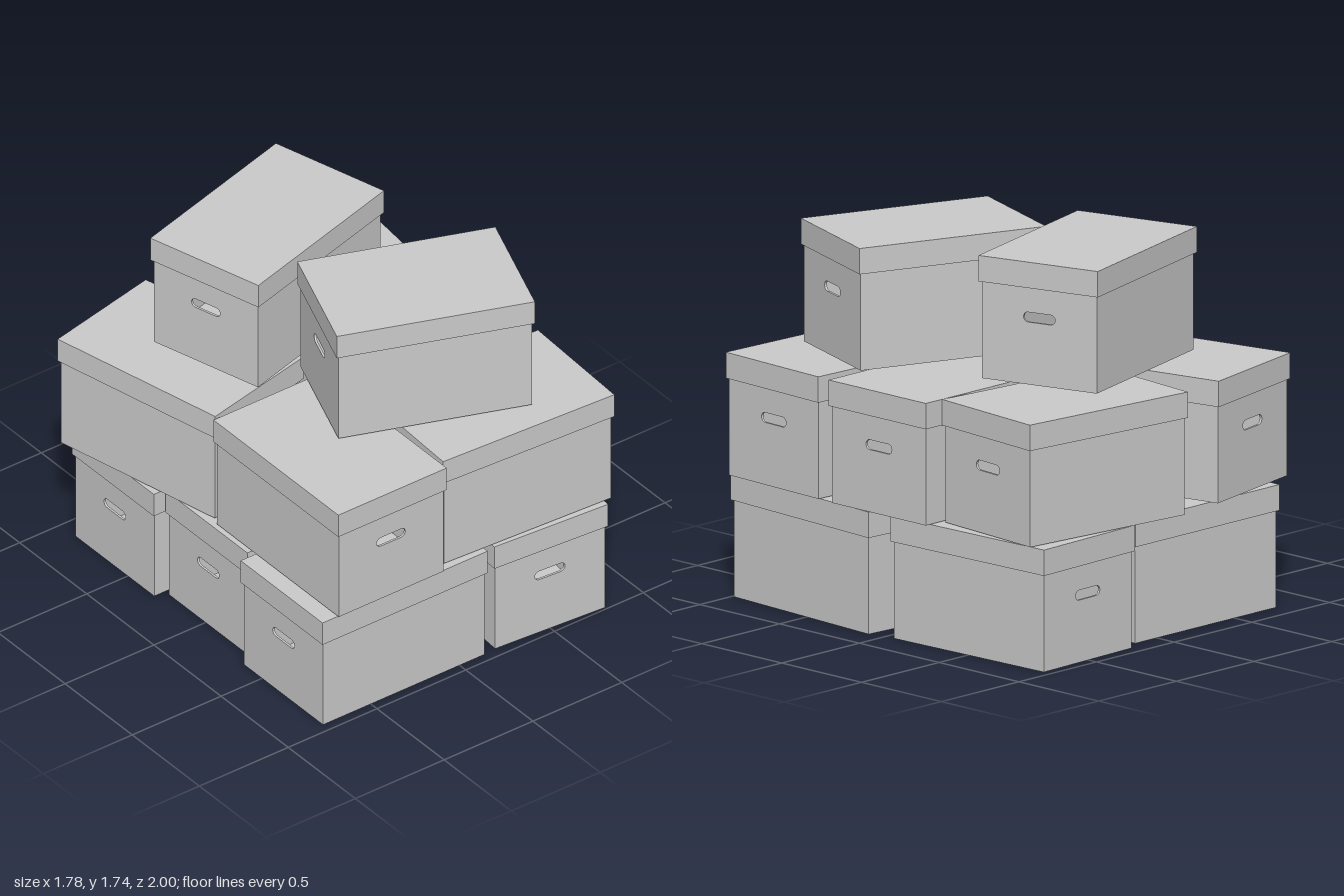
import * as THREE from 'three';

const LENGTH = 0.93, WIDTH = 0.61, HEIGHT = 0.57; // overall size of a lidded box
const LID = 0.12, CARD = 0.011;                   // lid depth, cardboard thickness

const material = new THREE.MeshStandardMaterial({ color: 0xcccccc, flatShading: true });

function rectangle(Path, w, h) {
  return new Path().setFromPoints([
    new THREE.Vector2(-w / 2, -h / 2), new THREE.Vector2(w / 2, -h / 2),
    new THREE.Vector2(w / 2, h / 2), new THREE.Vector2(-w / 2, h / 2),
  ]);
}

// End panel with a rounded hand slot, standing on y = 0
function endPanelGeometry(width, height) {
  const shape = rectangle(THREE.Shape, width, height);
  const r = 0.023, reach = 0.058, y = 0.312 - height / 2;
  const slot = new THREE.Path();
  slot.absarc(reach, y, r, -Math.PI / 2, Math.PI / 2, false);
  slot.absarc(-reach, y, r, Math.PI / 2, Math.PI * 1.5, false);
  slot.closePath();
  shape.holes.push(slot);
  return new THREE.ExtrudeGeometry(shape, { depth: CARD, bevelEnabled: false, curveSegments: 4 })
    .translate(0, height / 2, -CARD)
    .rotateY(Math.PI / 2);
}

// Open frame of the lid's four sides
function lidRimGeometry() {
  const shape = rectangle(THREE.Shape, LENGTH, WIDTH);
  shape.holes.push(rectangle(THREE.Path, LENGTH - 2 * CARD, WIDTH - 2 * CARD));
  return new THREE.ExtrudeGeometry(shape, { depth: LID - CARD, bevelEnabled: false })
    .rotateX(-Math.PI / 2);
}

const bodyL = LENGTH - 2 * CARD, bodyW = WIDTH - 2 * CARD, bodyH = HEIGHT - CARD;
const geometry = {
  end: endPanelGeometry(bodyW, bodyH),
  side: new THREE.BoxGeometry(bodyL - 2 * CARD, bodyH, CARD),
  floor: new THREE.BoxGeometry(bodyL - 2 * CARD, CARD, bodyW - 2 * CARD),
  rim: lidRimGeometry(),
  top: new THREE.BoxGeometry(LENGTH, CARD, WIDTH),
};

function add(parent, name, geo, x, y, z, turn = 0) {
  const mesh = new THREE.Mesh(geo, material);
  mesh.name = name;
  mesh.position.set(x, y, z);
  mesh.rotation.y = turn;
  parent.add(mesh);
}

// One storage box, its long side along x
function createBox(name) {
  const box = new THREE.Group();
  box.name = name;

  const body = new THREE.Group();
  body.name = 'boxBody';
  add(body, 'floor', geometry.floor, 0, CARD / 2, 0);
  for (const s of [1, -1]) {
    add(body, 'sidePanel', geometry.side, 0, bodyH / 2, s * (bodyW - CARD) / 2);
    add(body, 'endPanelWithHandSlot', geometry.end, s * bodyL / 2, 0, 0, s > 0 ? 0 : Math.PI);
  }

  const lid = new THREE.Group();
  lid.name = 'boxLid';
  add(lid, 'lidRim', geometry.rim, 0, HEIGHT - LID, 0);
  add(lid, 'lidTop', geometry.top, 0, HEIGHT - CARD / 2, 0);

  box.add(body, lid);
  return box;
}

export function createModel() {
  const model = new THREE.Group();
  model.name = 'stackOfStorageBoxes';
  const Q = Math.PI / 2;

  // name, x, base y, z, turn about y
  const boxes = [
    // bottom layer
    ['bottomFrontRightBox', -0.315, 0, 0.66, 0],
    ['bottomMiddleBox', -0.255, 0, 0.02, 0],
    ['bottomBackRightBox', -0.315, 0, -0.597, 0],
    ['bottomFrontLeftBox', 0.53, 0, 0.515, Q - 0.07],
    ['bottomBackLeftBox', 0.52, 0, -0.495, Q + 0.036],
    // middle layer
    ['middleFrontRightBox', -0.405, 0.577, 0.525, Q],
    ['middleBackRightBox', -0.495, 0.583, -0.47, Q + 0.217],
    ['middleLeftBox', 0.42, 0.575, 0, 0],
    ['middleBackLeftBox', 0.348, 0.575, -0.655, -0.097],
    ['middleFrontLeftBox', 0.398, 0.575, 0.658, -0.05],
    // top layer
    ['topBackBox', -0.06, 1.172, -0.4, 0.272],
    ['topFrontBox', 0.17, 1.157, 0.405, -0.352],
  ];
  for (const [name, x, y, z, turn] of boxes) {
    const box = createBox(name);
    box.position.set(x, y, z);
    box.rotation.y = turn;
    model.add(box);
  }
  return model;
}
